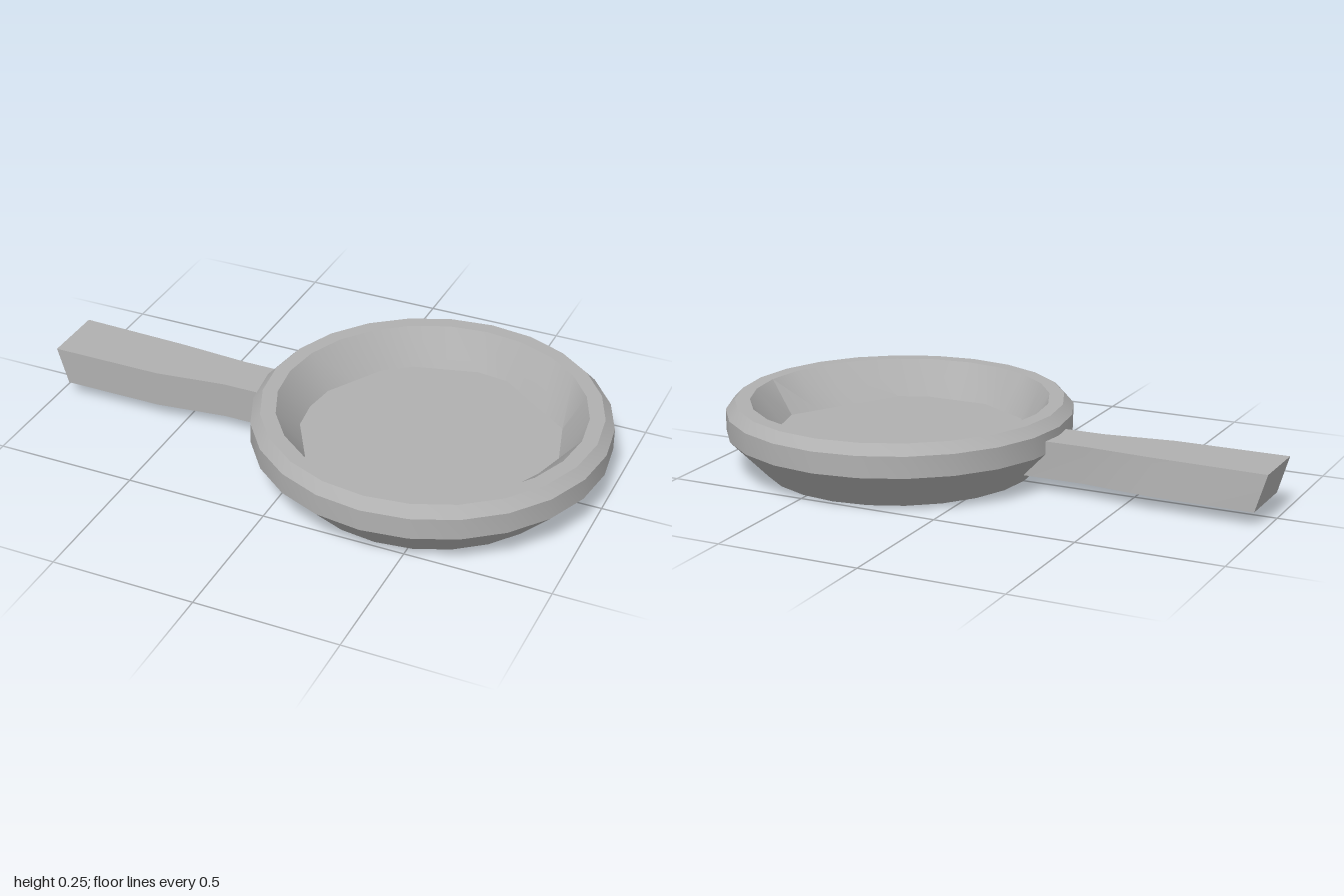
import * as THREE from 'three';
import { toCreasedNormals } from 'three/addons/utils/BufferGeometryUtils.js';

const SIDES = 24;
const PAN_X = 0.39;

// Pan bowl: turned profile whose inner floor ring is reduced to a few uneven corners
function panGeometry() {
  const profile = [
    [0, 0], [0.48, 0], [0.61, 0.135], [0.61, 0.21], [0.577, 0.245],
    [0.525, 0.245], [0.45, 0.12], [0, 0.12],
  ].map(([r, y]) => new THREE.Vector2(r, y));
  const geo = new THREE.LatheGeometry(profile, SIDES);
  const pos = geo.attributes.position;
  const floorRow = 6;
  const corners = [-1, 1, 2, 6, 8, 11, 12, 14, 15, 17, 18, 19, 21, 23, 25];
  const corner = (k) => {
    const a = (k / SIDES) * Math.PI * 2;
    return new THREE.Vector2(0.45 * Math.sin(a), 0.45 * Math.cos(a));
  };
  for (let k = 0; k <= SIDES; k++) {
    const next = corners.findIndex((c) => c > k);
    const a = corners[next - 1], b = corners[next];
    const p = corner(a).lerp(corner(b), (k - a) / (b - a));
    const i = k * profile.length + floorRow;
    pos.setX(i, p.x);
    pos.setZ(i, p.y);
  }
  geo.deleteAttribute('uv');
  return toCreasedNormals(geo, 0.5);
}

// Handle: four-cornered cross-sections joined along x
function handleGeometry() {
  // top x, bottom x, top back z, bottom back z, front z
  const sections = [
    [-1, -0.96, -0.113, -0.12, 0.112],
    [-0.6, -0.6, -0.1, -0.115, 0.112],
    [-0.35, -0.35, -0.084, -0.085, 0.08],
    [-0.17, -0.1, -0.084, -0.085, 0.08],
  ];
  const top = 0.18, bottom = 0.05;
  const rings = sections.map(([xt, xb, zt, zb, zf]) => [
    [xt, top, zf], [xt, top, zt], [xb, bottom, zb], [xb, bottom, zf],
  ]);
  const verts = [];
  const quad = (a, b, c, d) => verts.push(...a, ...b, ...c, ...a, ...c, ...d);
  for (let s = 0; s < rings.length - 1; s++) {
    for (let i = 0; i < 4; i++) {
      const j = (i + 1) % 4;
      quad(rings[s][i], rings[s + 1][i], rings[s + 1][j], rings[s][j]);
    }
  }
  const first = rings[0], last = rings[rings.length - 1];
  quad(first[0], first[1], first[2], first[3]);
  quad(last[3], last[2], last[1], last[0]);
  const geo = new THREE.BufferGeometry();
  geo.setAttribute('position', new THREE.Float32BufferAttribute(verts, 3));
  geo.computeVertexNormals();
  return toCreasedNormals(geo, 0.5);
}

export function createModel() {
  const group = new THREE.Group();
  group.name = 'fryingPan';
  const metal = new THREE.MeshStandardMaterial({ color: 0xb0b0b0 });
  metal.name = 'grey metal';

  const pan = new THREE.Mesh(panGeometry(), metal);
  pan.name = 'pan';
  pan.position.x = PAN_X;

  const handle = new THREE.Mesh(handleGeometry(), metal);
  handle.name = 'handle';

  group.add(pan, handle);
  return group;
}
